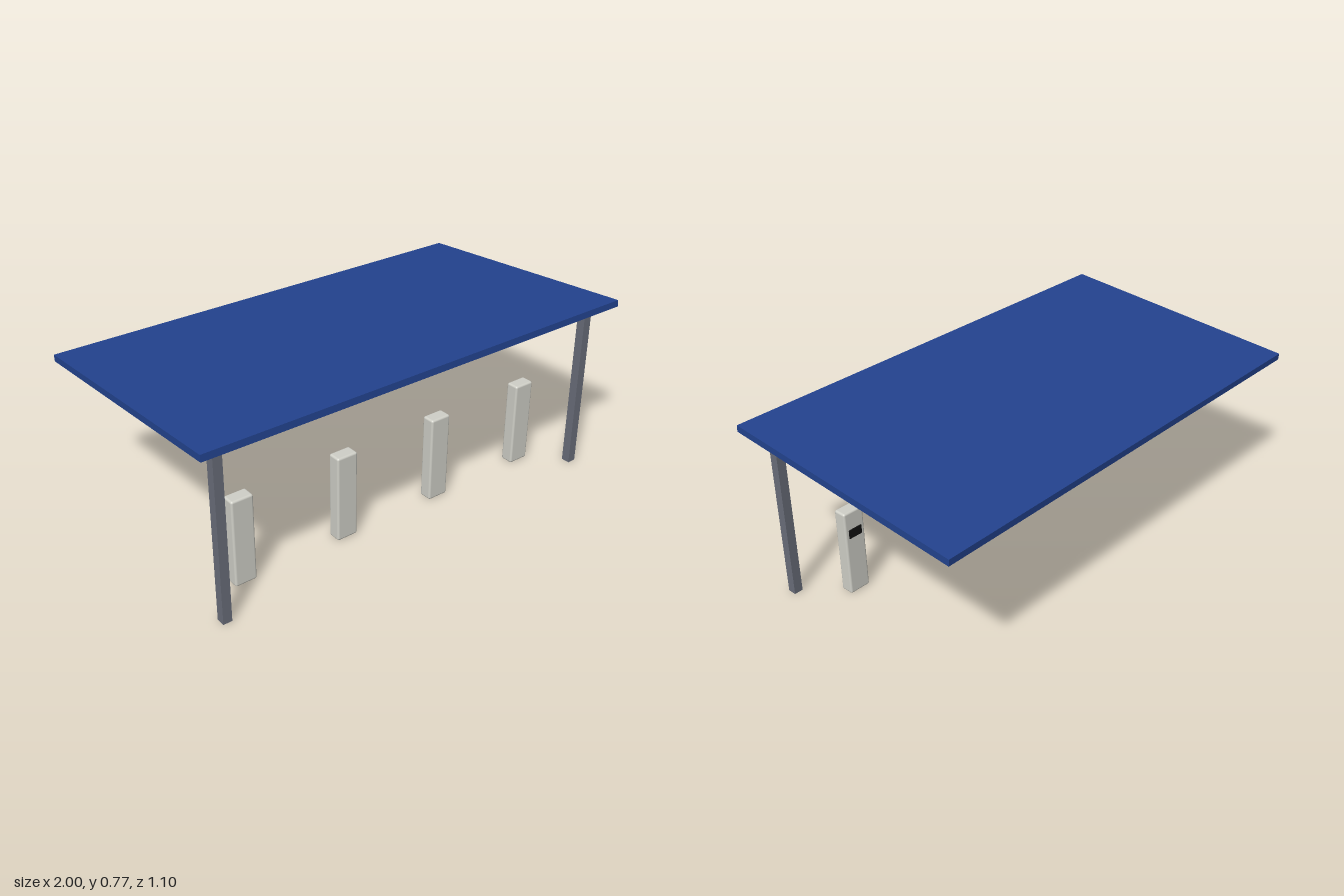
import * as THREE from 'three';
import { RoundedBoxGeometry } from 'three/addons/geometries/RoundedBoxGeometry.js';

const material = (name, color) => {
  const m = new THREE.MeshStandardMaterial({ color });
  m.name = name;
  return m;
};

export function createModel() {
  const blue = material('roof blue', 0x23438f);
  const grey = material('post grey', 0x6a6e7a);
  const pale = material('cabinet pale grey', 0xd0d0c8);
  const black = material('reader black', 0x111111);

  const model = new THREE.Group();
  model.name = 'gateShelter';

  const add = (parent, name, geometry, mat, x, y, z) => {
    const mesh = new THREE.Mesh(geometry, mat);
    mesh.name = name;
    mesh.position.set(x, y, z);
    parent.add(mesh);
    return mesh;
  };

  // Flat roof slab, pitched up towards the front
  const roof = add(model, 'roof', new THREE.BoxGeometry(2, 0.028, 1.1), blue, 0, 0.7205, 0);
  roof.rotation.x = -THREE.MathUtils.degToRad(4);

  // Two square posts under the front edge
  const postGeometry = new THREE.BoxGeometry(0.038, 0.7, 0.038);
  for (const side of [-1, 1]) {
    add(model, side > 0 ? 'leftPost' : 'rightPost', postGeometry, grey, side * 0.9, 0.35, 0.463);
  }

  // Row of four gate cabinets, each with a reader panel on the back
  const cabinetGeometry = new RoundedBoxGeometry(0.096, 0.38, 0.058, 2, 0.009);
  const readerGeometry = new RoundedBoxGeometry(0.063, 0.04, 0.006, 2, 0.002);
  for (let i = 0; i < 4; i++) {
    const gate = new THREE.Group();
    gate.name = `gate${i + 1}`;
    gate.position.set(-0.72 + i * 0.48, 0, 0.302);
    add(gate, 'cabinet', cabinetGeometry, pale, 0, 0.19, 0);
    add(gate, 'reader', readerGeometry, black, 0, 0.281, -0.0295);
    model.add(gate);
  }

  return model;
}
